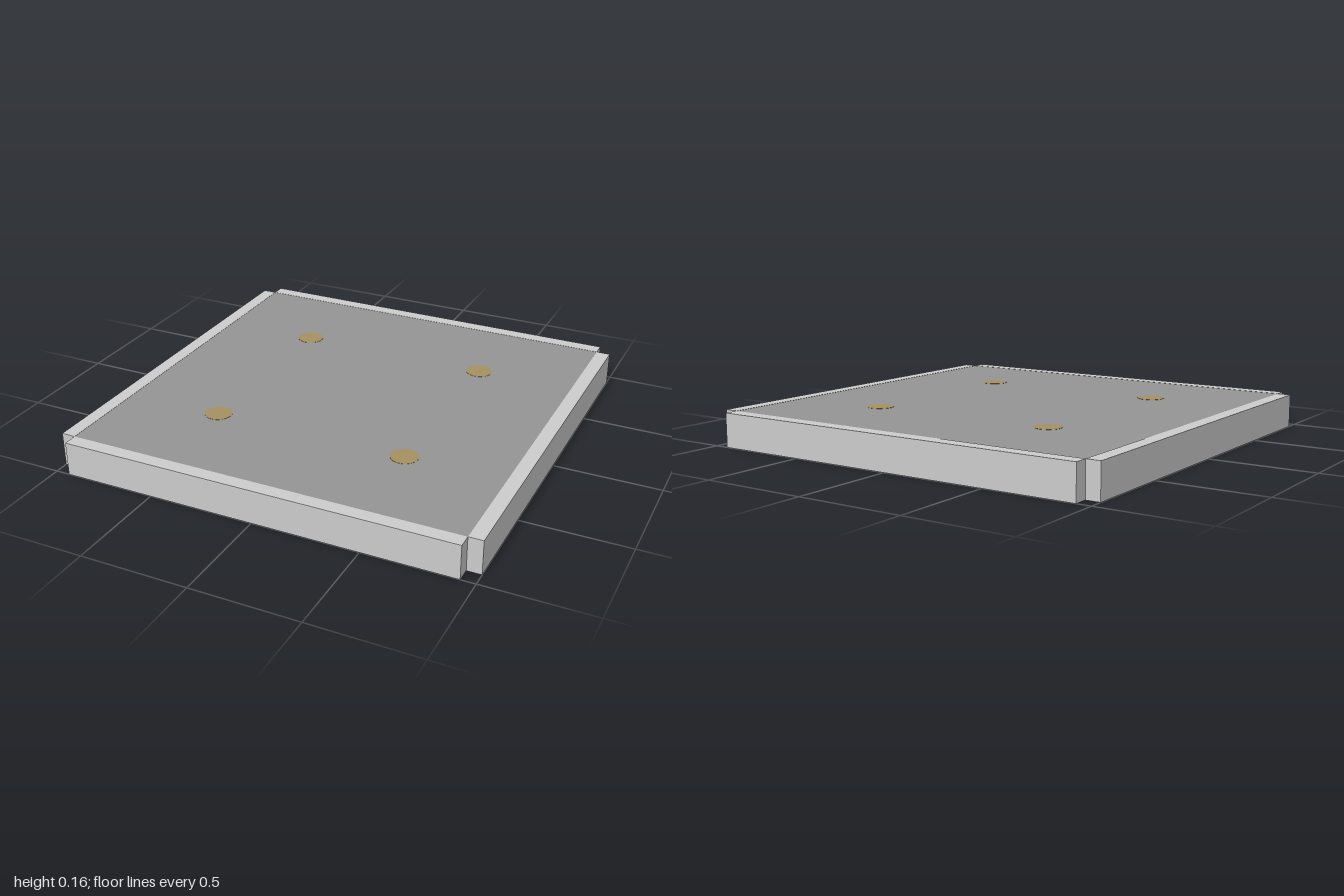
import * as THREE from 'three';

const UNIT = 2 / 30;          // edge strip thickness
const HALF = 14 * UNIT;       // half width of the inner panel
const HEIGHT = 0.16;
const PLATE = 0.006;          // thickness of the recess ceiling
const PANEL_TOP = HEIGHT - 0.001;

const stripMaterial = new THREE.MeshStandardMaterial({ color: 0xcccccc });
const panelMaterial = new THREE.MeshStandardMaterial({ color: 0x949494 });
const lampMaterial = new THREE.MeshStandardMaterial({ color: 0xa49161 });

function add(parent, name, geometry, material, x = 0, y = 0, z = 0) {
  const mesh = new THREE.Mesh(geometry, material);
  mesh.name = name;
  mesh.position.set(x, y, z);
  parent.add(mesh);
  return mesh;
}

// Square outline centred on (x, y)
function square(path, x, y, h) {
  path.moveTo(x - h, y - h);
  path.lineTo(x + h, y - h);
  path.lineTo(x + h, y + h);
  path.lineTo(x - h, y + h);
  path.closePath();
  return path;
}

export function createModel() {
  const model = new THREE.Group();
  model.name = 'lightPanel';
  const quadrants = [[-1, -1], [1, -1], [-1, 1], [1, 1]];
  const centre = 7 * UNIT;

  // Frame with four square recesses, open at the bottom
  const outline = square(new THREE.Shape(), 0, 0, HALF);
  for (const [sx, sz] of quadrants) {
    outline.holes.push(square(new THREE.Path(), sx * centre, sz * centre, 6 * UNIT));
  }
  const frame = new THREE.ExtrudeGeometry(outline, { depth: PANEL_TOP - PLATE, bevelEnabled: false });
  frame.rotateX(-Math.PI / 2);
  add(model, 'recessFrame', frame, panelMaterial);

  // Plate closing the recesses from above
  add(model, 'topPlate', new THREE.BoxGeometry(2 * HALF, PLATE, 2 * HALF), panelMaterial,
    0, PANEL_TOP - PLATE / 2, 0);

  // Four edge strips, leaving notched corners
  for (const s of [-1, 1]) {
    const offset = s * (HALF + UNIT / 2);
    add(model, s > 0 ? 'frontStrip' : 'backStrip',
      new THREE.BoxGeometry(2 * HALF, HEIGHT, UNIT), stripMaterial, 0, HEIGHT / 2, offset);
    add(model, s > 0 ? 'leftStrip' : 'rightStrip',
      new THREE.BoxGeometry(UNIT, HEIGHT, 2 * HALF), stripMaterial, offset, HEIGHT / 2, 0);
  }

  // Shallow domed lamps, their flat backs showing on the top
  const radius = 0.064, drop = 0.04;
  const profile = [];
  for (let i = 0; i <= 6; i++) {
    const a = (i / 6) * Math.PI / 2;
    profile.push(new THREE.Vector2(radius * Math.sin(a), -drop * Math.cos(a)));
  }
  const dome = new THREE.LatheGeometry(profile, 24);
  const back = new THREE.CylinderGeometry(radius, radius, PLATE + 0.001, 24);
  for (const [sx, sz] of quadrants) {
    const lamp = new THREE.Group();
    lamp.name = 'lamp';
    lamp.position.set(sx * centre, PANEL_TOP - PLATE, sz * centre);
    add(lamp, 'lampDome', dome, lampMaterial);
    add(lamp, 'lampBack', back, lampMaterial, 0, (PLATE + 0.001) / 2, 0);
    model.add(lamp);
  }
  return model;
}
